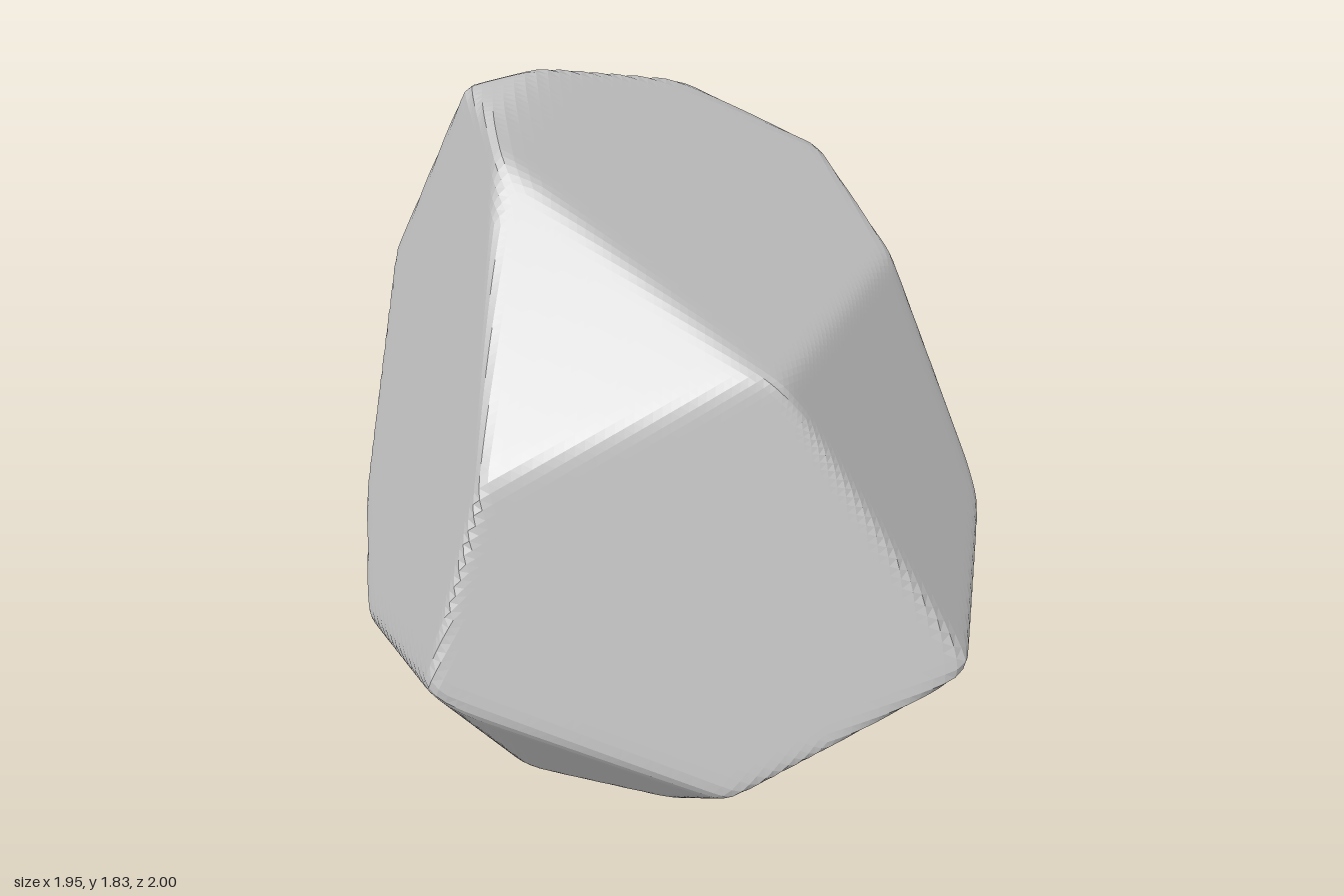
import * as THREE from 'three';

// Cut planes of the boulder: outward normal x, y, z and offset (n . p <= d)
const CUTS = [
  [-0.36, 0.17, 1, 0.955],        // front
  [-0.5, 1, 0.65, 1.96],          // front shoulder
  [0.59, 0.51, 0.62, 1.125],      // front corner
  [0.45, 1, 0.28, 1.61],          // sloping top
  [0, 1, -0.15, 1.885],           // crest
  [0.6, 0.7, -0.3, 1.62],         // top rear corner
  [-0.906, 0.306, -0.292, 0.975], // right flank
  [-0.5, -0.55, -0.5, 0.375],     // lower right back
  [-0.86, -0.5, 0.1, 0.555],      // lower right flank
  [-0.63, -0.56, 0.57, 0.53],     // lower right front
  [0, 0.46, -0.89, 1.36],         // upper back
  [-0.2, -0.42, -0.9, 0.465],     // lower back
  [0.35, 0, -0.94, 1.04],         // back corner
  [0.91, 0, -0.41, 1.045],        // left flank, rear
  [0.95, 0.22, 0.22, 1.035],      // left flank
  [0.87, -0.49, 0.04, 0.41],      // lower left flank
  [0.69, -0.52, 0.5, 0.5],        // lower left front
  [0.25, -1, 0.77, 0.375],        // lower front
  [0.03, -1, 0, -0.018],          // underside
].map(([x, y, z, d]) => ({ normal: new THREE.Vector3(x, y, z), d }));

const CENTRE = new THREE.Vector3(0, 0.9, 0);
const SHARPNESS = 80;

// Distance from the centre to the nearest cut, with slightly worn edges
function radiusAlong(dir) {
  let sum = 0;
  for (const { normal, d } of CUTS) {
    const facing = normal.dot(dir);
    if (facing > 0) sum += Math.pow(facing / (d - normal.dot(CENTRE)), SHARPNESS);
  }
  return Math.pow(sum, -1 / SHARPNESS);
}

export function createModel() {
  const group = new THREE.Group();
  group.name = 'boulder';

  // Ball pressed inwards onto the cut planes
  const geometry = new THREE.IcosahedronGeometry(1, 40);
  const pos = geometry.attributes.position;
  const p = new THREE.Vector3();
  for (let i = 0; i < pos.count; i++) {
    p.fromBufferAttribute(pos, i).normalize();
    p.multiplyScalar(radiusAlong(p)).add(CENTRE);
    pos.setXYZ(i, p.x, p.y, p.z);
  }
  geometry.computeVertexNormals();

  const rock = new THREE.Mesh(
    geometry,
    new THREE.MeshStandardMaterial({ color: 0xcccccc, flatShading: true })
  );
  rock.name = 'rock';
  group.add(rock);
  return group;
}
